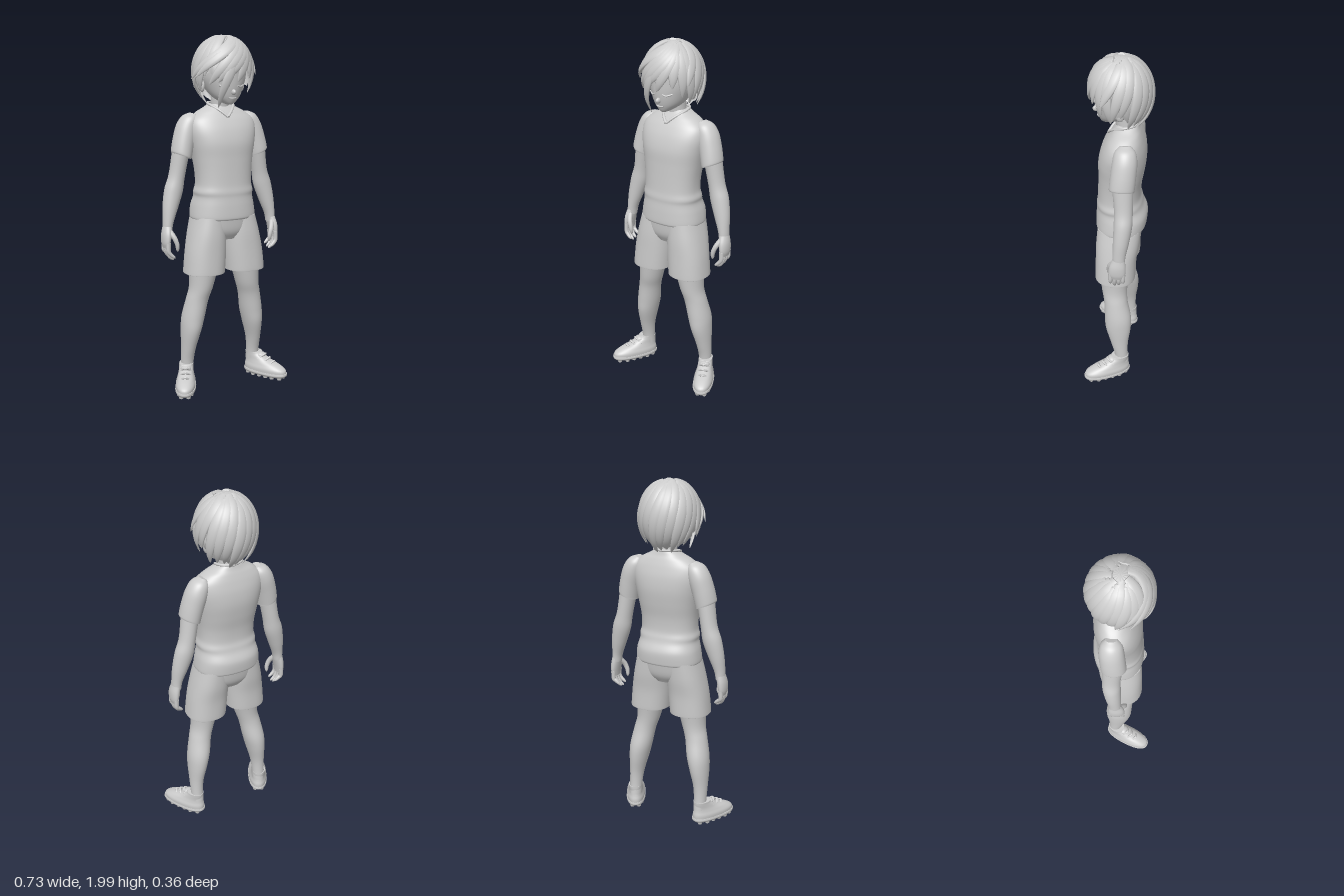
import * as THREE from 'three';

const mat = new THREE.MeshStandardMaterial({ color: 0xcccccc, side: THREE.DoubleSide });
const V = (x, y, z) => new THREE.Vector3(x, y, z);
const curve = (pts) => new THREE.CatmullRomCurve3(pts.map((p) => V(...p)), false, 'catmullrom');

// Joins a stack of closed rings into one smooth mesh, with flat caps on its ends.
function skin(name, rings, capped = true) {
  const n = rings[0].length;
  const rows = [...rings];
  if (capped) {
    const centre = (r) => {
      const c = r.reduce((s, p) => s.add(p), V(0, 0, 0)).divideScalar(n);
      return r.map(() => c);
    };
    const first = rings[0], last = rings[rings.length - 1];
    rows.unshift(centre(first), first);
    rows.push(last, centre(last));
  }
  const pos = [], index = [];
  rows.forEach((r) => r.forEach((p) => pos.push(p.x, p.y, p.z)));
  for (let j = 0; j < rows.length - 1; j++) {
    for (let i = 0; i < n; i++) {
      const a = j * n + i, b = j * n + ((i + 1) % n);
      index.push(a, a + n, b, b, a + n, b + n);
    }
  }
  const g = new THREE.BufferGeometry();
  g.setAttribute('position', new THREE.Float32BufferAttribute(pos, 3));
  g.setIndex(index);
  g.computeVertexNormals();
  const m = new THREE.Mesh(g, mat);
  m.name = name;
  return m;
}

// Lofts level sections [x, y, z, rx, rz], listed from bottom to top.
function loft(name, sections, { power = 2, tilt = 0, sides = 40 } = {}) {
  const mid = curve(sections.map((s) => s.slice(0, 3)));
  const size = curve(sections.map((s) => [s[3], s[4], 0]));
  const steps = (sections.length - 1) * 6;
  const round = (v) => Math.sign(v) * Math.abs(v) ** (2 / power);
  const rings = [];
  for (let j = 0; j <= steps; j++) {
    const c = mid.getPoint(j / steps), r = size.getPoint(j / steps);
    rings.push(Array.from({ length: sides }, (_, i) => {
      const a = (i / sides) * Math.PI * 2;
      const dx = r.x * round(Math.cos(a));
      return V(c.x + dx, c.y + tilt * dx, c.z + r.y * round(Math.sin(a)));
    }));
  }
  return skin(name, rings);
}

// Sweeps an oval along a path; normalAt gives the flat side, taper the size.
function sweep(name, path, normalAt, w, h, taper, steps = 18, sides = 10) {
  const rings = [];
  for (let j = 0; j <= steps; j++) {
    const t = j / steps, p = path.getPoint(t), T = path.getTangent(t);
    const side = T.clone().cross(normalAt(p)).normalize();
    const N = side.clone().cross(T);
    const k = taper(t);
    rings.push(Array.from({ length: sides }, (_, i) => {
      const a = (i / sides) * Math.PI * 2;
      return p.clone().addScaledVector(side, Math.cos(a) * w * k).addScaledVector(N, Math.sin(a) * h * k);
    }));
  }
  return skin(name, rings);
}

const even = () => 1;
const fingerTaper = (t) => (1 - 0.3 * t) * Math.sqrt(Math.max(0.02, 1 - t ** 8));
const lockTaper = (t) => 0.06 + Math.sin(Math.PI * Math.min(1, 0.15 + 0.85 * t)) ** 0.7;
const forward = () => V(0, 0, 1);

function ball(name, x, y, z, rx, ry, rz) {
  const m = new THREE.Mesh(new THREE.SphereGeometry(1, 20, 14), mat);
  m.name = name;
  m.position.set(x, y, z);
  m.scale.set(rx, ry, rz);
  return m;
}

function createArm() {
  const g = new THREE.Group();
  g.name = 'arm';
  g.add(
    loft('sleeve', [[0.238, 1.34, -0.035, 0.054, 0.066], [0.237, 1.355, -0.035, 0.056, 0.068],
      [0.222, 1.42, -0.04, 0.057, 0.068], [0.2, 1.49, -0.045, 0.056, 0.066],
      [0.178, 1.54, -0.045, 0.045, 0.056], [0.16, 1.568, -0.045, 0.02, 0.03]], { tilt: 0.38 }),
    loft('forearm', [[0.33, 0.93, -0.03, 0.026, 0.034], [0.324, 0.98, -0.032, 0.03, 0.036],
      [0.306, 1.06, -0.04, 0.043, 0.044], [0.282, 1.15, -0.047, 0.051, 0.05],
      [0.262, 1.23, -0.047, 0.044, 0.05], [0.24, 1.36, -0.04, 0.046, 0.056]], { tilt: 0.2, sides: 28 }),
    loft('palm', [[0.342, 0.835, -0.022, 0.015, 0.036], [0.343, 0.865, -0.022, 0.021, 0.046],
      [0.338, 0.91, -0.024, 0.026, 0.045], [0.329, 0.955, -0.03, 0.026, 0.034]], { sides: 24 }));
  // Four curled fingers and a thumb
  for (let i = 0; i < 4; i++) {
    const z = -0.056 + i * 0.023, drop = [0.02, 0.005, 0, 0.012][i];
    g.add(sweep('finger', curve([[0.342, 0.865, z], [0.342, 0.82, z + 0.001],
      [0.328, 0.785 + drop, z + 0.003], [0.303, 0.765 + drop, z + 0.006]]), forward, 0.014, 0.013, fingerTaper));
  }
  g.add(sweep('thumb', curve([[0.33, 0.935, -0.01], [0.31, 0.895, 0.02], [0.296, 0.855, 0.028],
    [0.292, 0.815, 0.024]]), forward, 0.016, 0.016, fingerTaper));
  return g;
}

function createLeg() {
  const g = new THREE.Group();
  g.name = 'leg';
  g.add(
    loft('shortsLeg', [[0.126, 0.68, 0.015, 0.113, 0.112], [0.126, 0.69, 0.015, 0.115, 0.115],
      [0.116, 0.8, 0.012, 0.113, 0.116], [0.105, 0.9, 0.004, 0.104, 0.122],
      [0.093, 1.0, -0.004, 0.09, 0.122]], { power: 2.3 }),
    loft('bareLeg', [[0.215, 0.09, -0.035, 0.036, 0.04], [0.215, 0.16, -0.028, 0.037, 0.041],
      [0.211, 0.24, -0.018, 0.042, 0.053], [0.199, 0.34, -0.01, 0.056, 0.074],
      [0.187, 0.42, -0.006, 0.064, 0.077], [0.168, 0.52, 0.008, 0.064, 0.069],
      [0.147, 0.6, 0.018, 0.068, 0.074], [0.13, 0.72, 0.018, 0.085, 0.088]], { sides: 32 }));

  // Shoe, turned outward, with a studded sole
  const shoe = new THREE.Group();
  shoe.name = 'shoe';
  shoe.position.set(0.262, 0, 0.05);
  shoe.rotation.y = 0.48;
  shoe.add(
    loft('sole', [[0, 0.014, 0, 0.052, 0.136], [0, 0.024, 0, 0.059, 0.144], [0, 0.036, 0, 0.058, 0.143]], { power: 2.4 }),
    loft('shoeUpper', [[0, 0.03, 0, 0.055, 0.14], [0, 0.055, -0.003, 0.056, 0.137],
      [0, 0.078, -0.02, 0.049, 0.115], [0, 0.1, -0.05, 0.043, 0.082],
      [0, 0.125, -0.076, 0.041, 0.058], [0, 0.14, -0.084, 0.041, 0.05]], { power: 2.3 }));
  for (let i = 0; i < 6; i++) {
    for (const s of [-1, 1]) {
      const stud = new THREE.Mesh(new THREE.CylinderGeometry(0.017, 0.012, 0.022, 10), mat);
      stud.name = 'stud';
      stud.position.set(s * (i % 5 === 0 ? 0.02 : 0.034), 0.011, -0.11 + i * 0.044);
      shoe.add(stud);
    }
  }
  for (let i = 0; i < 3; i++) {
    const y = 0.088 + i * 0.017, z = 0.058 - i * 0.03;
    shoe.add(sweep('lace', curve([[-0.036, y - 0.018, z - 0.03], [0, y + 0.012, z], [0.036, y - 0.018, z - 0.03]]),
      () => V(0, 1, 0), 0.007, 0.006, even));
  }
  shoe.add(ball('tongue', 0, 0.122, -0.03, 0.03, 0.018, 0.025));
  g.add(shoe);
  return g;
}

// Point on the hair shell: azimuth a (front = 90 degrees), angle p down from the crown
const shell = (a, p, lift = 0) => V(Math.cos(a) * Math.sin(p) * 0.157, Math.cos(p) * 0.19, Math.sin(a) * Math.sin(p) * 0.161)
  .multiplyScalar(1 + lift).add(V(0, 1.8, 0));
const hem = (a) => 2.0 - 0.56 * Math.sin(a) + 0.09 * Math.sin(9 * a);

function createHair() {
  const g = new THREE.Group();
  g.name = 'hair';
  const rings = [];
  for (let j = 36; j >= 0; j--) {
    const t = j / 36;
    rings.push(Array.from({ length: 120 }, (_, i) => {
      const a = (i / 120) * Math.PI * 2;
      return shell(a, hem(a) * t, 0.025 * t * Math.sin(14 * a + 7 * t));
    }));
  }
  g.add(skin('hairShell', rings, false));

  const lock = (a0, p0, a1, p1, w, flare) => {
    const pts = [];
    for (let i = 0; i <= 6; i++) {
      const t = i / 6;
      pts.push(shell(a0 + (a1 - a0) * t, p0 + (p1 - p0) * t, 0.01 + flare * t ** 3).toArray());
    }
    g.add(sweep('hairLock', curve(pts), (p) => p.clone().sub(V(0, 1.8, 0)).normalize(), w, w * 0.4, lockTaper, 22));
  };
  // Locks swirling from the crown over the sides and back
  for (let i = 0; i < 15; i++) {
    const a = 2.7 + i * 0.29;
    lock(a - 0.55, 0.22 + 0.1 * (i % 3), a, hem(a) + 0.1 * (i % 2), 0.031, 0.04 + 0.05 * (i % 3));
  }
  // Fringe swept across the brow, with side strands
  const fringe = [
    [0.7, 0.4, 1.5, 1.85, 0.036, 0.04], [0.7, 0.5, 1.85, 1.72, 0.036, 0.05], [0.8, 0.4, 2.2, 1.85, 0.036, 0.06],
    [0.9, 0.3, 2.5, 1.9, 0.034, 0.08], [0.9, 0.25, 2.9, 1.7, 0.03, 0.24], [1.0, 0.25, 3.2, 1.75, 0.03, 0.2],
    [1.3, 0.6, 2.25, 2.5, 0.026, 0.25], [0.8, 0.4, 0.95, 1.75, 0.034, 0.04], [0.6, 0.4, 0.6, 2.0, 0.032, 0.06],
    [0.5, 0.4, 0.25, 2.2, 0.032, 0.08]];
  fringe.forEach((f) => lock(...f));
  return g;
}

function createHead() {
  const g = new THREE.Group();
  g.name = 'head';
  g.add(
    loft('neck', [[0, 1.5, -0.04, 0.066, 0.062], [0, 1.6, -0.03, 0.055, 0.055], [0, 1.72, -0.015, 0.055, 0.06]]),
    loft('face', [[0, 1.622, 0.08, 0.014, 0.018], [0, 1.635, 0.063, 0.04, 0.045], [0, 1.665, 0.033, 0.076, 0.088],
      [0, 1.71, 0.01, 0.103, 0.122], [0, 1.77, 0, 0.124, 0.138], [0, 1.84, 0, 0.125, 0.138],
      [0, 1.9, 0, 0.105, 0.115], [0, 1.95, 0, 0.05, 0.055]]),
    ball('nose', 0, 1.69, 0.13, 0.012, 0.016, 0.02));
  for (const s of [-1, 1]) {
    g.add(ball('ear', s * 0.122, 1.72, -0.01, 0.014, 0.034, 0.022),
      sweep('eyelid', curve([[s * 0.025, 1.725, 0.128], [s * 0.045, 1.718, 0.122], [s * 0.072, 1.727, 0.102]]),
        forward, 0.005, 0.006, even));
  }
  g.add(sweep('mouth', curve([[-0.022, 1.658, 0.115], [0, 1.656, 0.121], [0.022, 1.658, 0.115]]), forward, 0.004, 0.005, even),
    createHair());
  return g;
}

export function createModel() {
  const model = new THREE.Group();
  model.name = 'standingFigure';

  // Shirt with soft folds at the waist and a V-shaped collar
  model.add(
    loft('shirt', [[0, 0.985, -0.006, 0.184, 0.137], [0, 1.0, -0.006, 0.189, 0.142], [0, 1.06, -0.008, 0.181, 0.142],
      [0, 1.11, 0, 0.169, 0.13], [0, 1.14, 0.004, 0.171, 0.126], [0, 1.18, 0.006, 0.162, 0.119],
      [0, 1.25, 0.003, 0.164, 0.119], [0, 1.33, -0.005, 0.175, 0.125], [0, 1.41, -0.011, 0.19, 0.129],
      [0, 1.48, -0.018, 0.2, 0.119], [0, 1.535, -0.025, 0.19, 0.1], [0, 1.575, -0.032, 0.146, 0.08],
      [0, 1.6, -0.036, 0.098, 0.066], [0, 1.62, -0.04, 0.066, 0.056]], { power: 2.35, sides: 64 }),
    loft('pelvis', [[0, 0.87, 0, 0.09, 0.09], [0, 0.92, -0.002, 0.165, 0.118], [0, 1.0, -0.005, 0.18, 0.132]], { power: 2.3 }));
  for (const s of [-1, 1]) {
    model.add(sweep('collar', curve([[0, 1.553, 0.067], [s * 0.04, 1.59, 0.036], [s * 0.073, 1.618, -0.02],
      [s * 0.055, 1.626, -0.073], [0, 1.625, -0.095]]), () => V(0, 1, 0.2), 0.008, 0.007, even));
  }

  // Limbs, mirrored across the body
  for (const limb of [createArm(), createLeg()]) {
    const other = limb.clone();
    limb.name = 'left ' + limb.name;
    other.name = 'right ' + other.name;
    other.scale.x = -1;
    model.add(limb, other);
  }
  model.add(createHead());
  return model;
}
